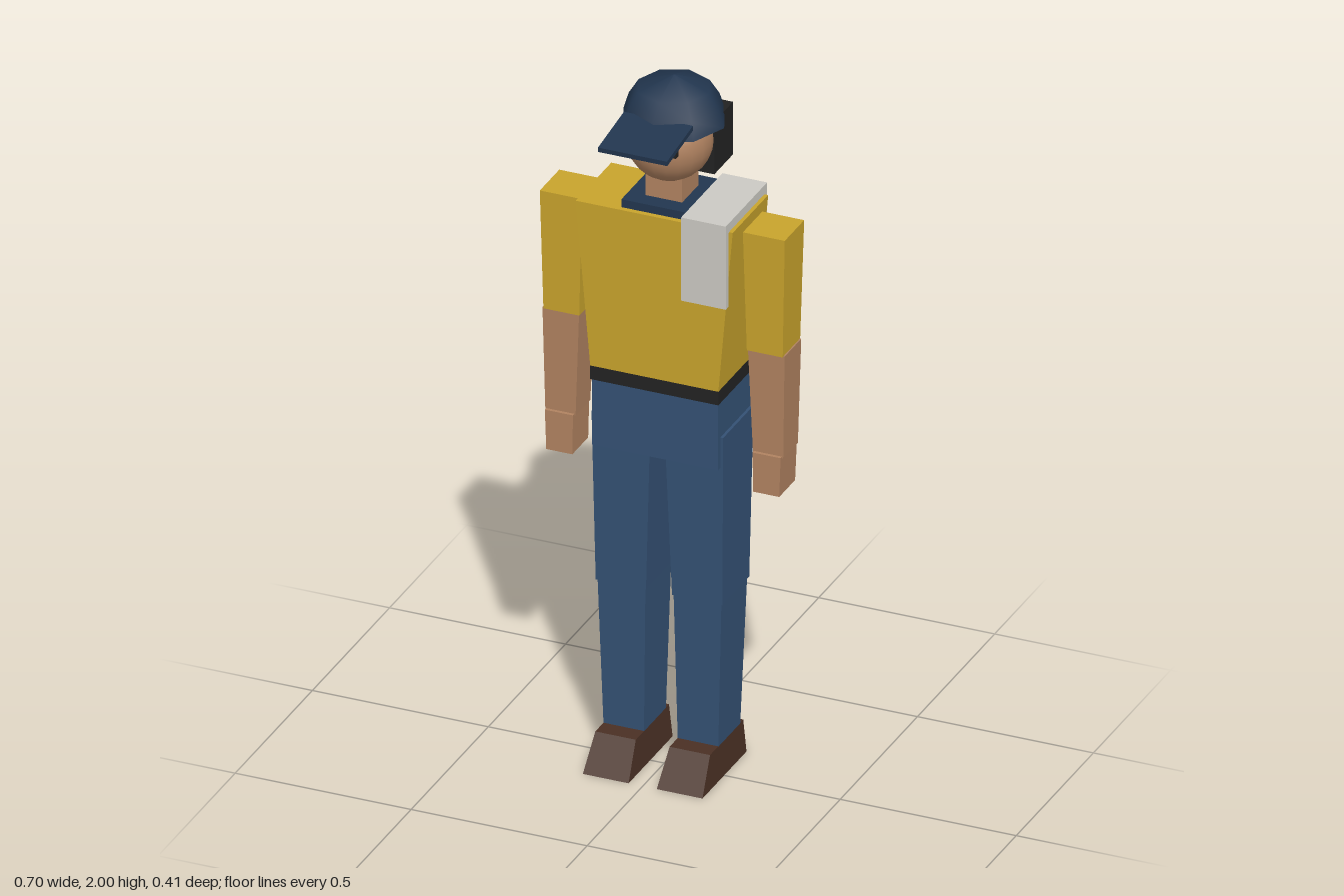
import * as THREE from 'three';

const mat = (name, color) => {
  const m = new THREE.MeshStandardMaterial({ color });
  m.name = name;
  return m;
};

export function createModel() {
  const shirt = mat('mustard shirt', 0xc8a32c);
  const denim = mat('denim blue', 0x345174);
  const navy = mat('navy cap', 0x22364f);
  const skin = mat('skin', 0xb08260);
  const black = mat('black', 0x222222);
  const leather = mat('brown leather', 0x4a3024);
  const cloth = mat('pale cloth', 0xcbc9c3);

  const root = new THREE.Group();
  root.name = 'standingWorker';

  const add = (name, geometry, material, parent = root) => {
    const mesh = new THREE.Mesh(geometry, material);
    mesh.name = name;
    parent.add(mesh);
    return mesh;
  };

  // Tapered block between two rectangles, each given as [x0, x1, z0, z1]
  const block = (name, y0, y1, bottom, top, material, parent = root) => {
    const g = new THREE.BoxGeometry(1, 1, 1);
    const p = g.attributes.position;
    for (let i = 0; i < p.count; i++) {
      const up = p.getY(i) > 0;
      const r = up ? top : bottom;
      p.setXYZ(i, p.getX(i) < 0 ? r[0] : r[1], up ? y1 : y0, p.getZ(i) < 0 ? r[2] : r[3]);
    }
    g.computeVertexNormals();
    return add(name, g, material, parent);
  };
  const box = (name, y0, y1, rect, material, parent) => block(name, y0, y1, rect, rect, material, parent);

  // Swap a rectangle to the other side of the body
  const flip = (r, s) => (s > 0 ? r : [-r[1], -r[0], r[2], r[3]]);

  // Trunk
  block('torso', 1.165, 1.642, [-0.182, 0.182, -0.16, 0.065], [-0.223, 0.223, -0.165, 0.065], shirt);
  box('belt', 1.125, 1.167, [-0.182, 0.182, -0.16, 0.065], black);
  box('hips', 0.93, 1.126, [-0.179, 0.179, -0.155, 0.06], denim);
  box('collar', 1.64, 1.665, [-0.1, 0.1, -0.155, 0.05], navy);

  // Limbs, mirrored
  for (const s of [1, -1]) {
    const side = s > 0 ? 'left' : 'right';
    const leg = new THREE.Group();
    leg.name = side + 'Leg';
    const arm = new THREE.Group();
    arm.name = side + 'Arm';
    root.add(leg, arm);
    const part = (name, y0, y1, a, b, m, parent) => block(name, y0, y1, flip(a, s), flip(b, s), m, parent);

    part('thigh', 0.52, 1.02, [0.037, 0.18, -0.14, 0.034], [0.02, 0.187, -0.152, 0.045], denim, leg);
    part('shin', 0.09, 0.525, [0.048, 0.163, -0.12, 0.022], [0.04, 0.176, -0.136, 0.031], denim, leg);
    part('shoe', 0, 0.095, [0.04, 0.17, -0.145, 0.14], [0.048, 0.163, -0.14, 0.075], leather, leg);

    part('sleeve', 1.272, 1.62, [0.238, 0.34, -0.105, 0.008], [0.229, 0.348, -0.113, 0.013], shirt, arm);
    part('forearm', 0.97, 1.274, [0.252, 0.338, -0.095, 0], [0.24, 0.344, -0.103, 0.005], skin, arm);
    part('hand', 0.86, 0.975, [0.257, 0.331, -0.093, 0.01], [0.255, 0.335, -0.095, 0.01], skin, arm);
  }

  // Head
  const head = new THREE.Group();
  head.name = 'head';
  root.add(head);
  box('neck', 1.64, 1.75, [-0.052, 0.052, -0.103, 0.003], skin, head);
  add('face', new THREE.SphereGeometry(0.117, 20, 14), skin, head).position.set(0, 1.83, -0.037);
  box('hair', 1.73, 1.885, [-0.115, 0.115, -0.183, -0.062], black, head);
  for (const s of [1, -1]) {
    box('eye', 1.832, 1.866, flip([0.034, 0.066, 0.05, 0.076], s), black, head);
  }

  // Cap: eight-sided dome, flat underside and sloping peak
  const cap = new THREE.Group();
  cap.name = 'cap';
  head.add(cap);
  const profile = [[0.143, 1.872], [0.128, 1.92], [0.1, 1.965], [0, 2]].map(([x, y]) => new THREE.Vector2(x, y));
  add('capDome', new THREE.LatheGeometry(profile, 8), navy, cap).position.z = -0.062;
  const under = add('capUnderside', new THREE.CircleGeometry(0.143, 8), navy, cap);
  under.rotation.x = Math.PI / 2;
  under.position.set(0, 1.872, -0.062);
  const peak = add('capPeak', new THREE.BoxGeometry(0.196, 0.014, 0.17), navy, cap);
  peak.position.set(0, 1.899, 0.121);
  peak.rotation.x = 0.14;

  // Towel folded over the left shoulder
  const towel = new THREE.Group();
  towel.name = 'shoulderTowel';
  root.add(towel);
  box('towelTop', 1.64, 1.668, [0.085, 0.212, -0.183, 0.085], cloth, towel);
  box('towelFront', 1.423, 1.642, [0.085, 0.212, 0.067, 0.085], cloth, towel);
  box('towelBack', 1.492, 1.642, [0.085, 0.212, -0.183, -0.165], cloth, towel);

  return root;
}
